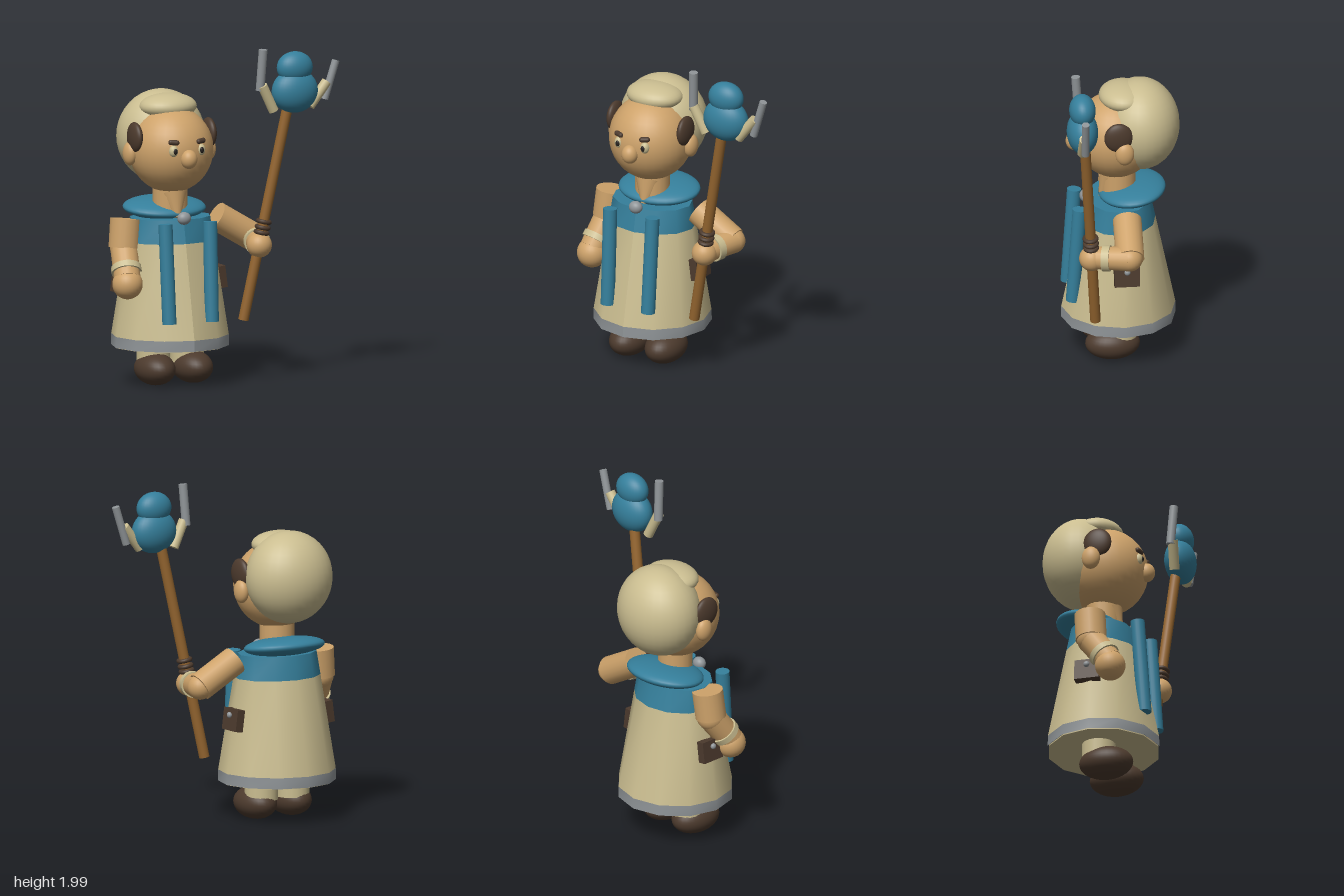
import * as THREE from 'three';

const mat = (name, color) => {
  const m = new THREE.MeshStandardMaterial({ color });
  m.name = name;
  return m;
};

export function createModel() {
  const skin = mat('skin', 0xcda26a);
  const cream = mat('cream', 0xcabd90);
  const blue = mat('blue', 0x357f9b);
  const brown = mat('dark brown', 0x4c3a2d);
  const grey = mat('grey', 0x8f9497);
  const wood = mat('wood', 0x94652f);
  const black = mat('near black', 0x26211e);

  const root = new THREE.Group();
  root.name = 'figure';
  // The figure is turned 45 degrees; its own front is the local +z
  const body = new THREE.Group();
  body.name = 'body';
  body.position.set(-0.275, 0, 0.02);
  body.rotation.y = Math.PI / 4;
  root.add(body);

  const add = (parent, name, geometry, material, pos = [0, 0, 0], rot = [0, 0, 0]) => {
    const m = new THREE.Mesh(geometry, material);
    m.name = name;
    m.position.set(...pos);
    m.rotation.set(...rot);
    parent.add(m);
    return m;
  };
  const ball = (name, material, pos, radii, rot) => {
    const m = add(body, name, new THREE.SphereGeometry(1, 32, 20), material, pos, rot);
    m.scale.set(...radii);
    return m;
  };
  // Cylinder between two points
  const rod = (parent, name, material, a, b, r0, r1 = r0, sides = 20) => {
    const p = new THREE.Vector3(...a), q = new THREE.Vector3(...b);
    const d = q.clone().sub(p);
    const m = add(parent, name, new THREE.CylinderGeometry(r1, r0, d.length(), sides), material);
    m.position.copy(p).add(q).multiplyScalar(0.5);
    m.quaternion.setFromUnitVectors(new THREE.Vector3(0, 1, 0), d.normalize());
    return m;
  };

  // Robe: twelve-sided bands, each with an elliptical section at either end
  const band = (name, material, y0, y1, [ax, az], [bx, bz], open = true) => {
    const g = new THREE.CylinderGeometry(1, 1, 1, 12, 1, open);
    const p = g.attributes.position;
    for (let i = 0; i < p.count; i++) {
      const top = p.getY(i) > 0;
      p.setXYZ(i, p.getX(i) * (top ? bx : ax), top ? y1 : y0, p.getZ(i) * (top ? bz : az));
    }
    g.computeVertexNormals();
    add(body, name, g, material);
  };
  band('hem', grey, 0.235, 0.3, [0.352, 0.34], [0.35, 0.338]);
  band('robeUnderside', cream, 0.232, 0.24, [0.345, 0.333], [0.345, 0.333], false);
  band('robe', cream, 0.3, 0.86, [0.35, 0.338], [0.27, 0.22]);
  band('yoke', blue, 0.86, 1.0, [0.27, 0.22], [0.25, 0.19], false);

  // Left and right pairs
  for (const s of [-1, 1]) {
    rod(body, 'leg', cream, [s * 0.11, 0.13, 0], [s * 0.11, 0.25, 0], 0.1);
    ball('boot', brown, [s * 0.122, 0.105, 0.048], [0.113, 0.097, 0.162]);
    rod(body, 'stoleStrip', blue, [s * 0.138, 0.4, 0.285], [s * 0.145, 0.99, 0.245], 0.042);
    ball('ear', skin, [s * 0.256, 1.385, -0.01], [0.04, 0.07, 0.055]);
    ball('sideburn', brown, [s * 0.24, 1.485, 0.025], [0.035, 0.09, 0.085]);
    ball('eye', cream, [s * 0.088, 1.42, 0.235], [0.028, 0.036, 0.028]);
    ball('pupil', black, [s * 0.086, 1.42, 0.259], [0.013, 0.018, 0.008]);
    add(body, 'eyebrow', new THREE.CapsuleGeometry(0.016, 0.034, 6, 12), brown,
      [s * 0.088, 1.472, 0.24], [0, s * 0.3, Math.PI / 2 + s * 0.1]);
    add(body, 'pouch', new THREE.BoxGeometry(0.05, 0.13, 0.15), brown,
      [s * 0.315, 0.625, -0.015], [0, 0, s * 0.13]);
    ball('pouchButton', grey, [s * 0.343, 0.655, -0.015], [0.015, 0.018, 0.018]);
  }

  // Neck, collar and clasp
  rod(body, 'neck', skin, [0, 0.98, 0], [0, 1.24, 0], 0.103);
  ball('collar', blue, [0, 1.045, -0.08], [0.255, 0.058, 0.2], [0.13, 0, 0]);
  rod(body, 'throat', skin, [0, 1.0, 0.1], [0, 1.13, 0.035], 0.02, 0.085);
  ball('clasp', grey, [0, 1.01, 0.195], [0.042, 0.038, 0.035]);

  // Head
  ball('head', skin, [0, 1.4, 0.015], [0.25, 0.257, 0.25]);
  ball('nose', skin, [0, 1.37, 0.262], [0.05, 0.057, 0.05]);
  ball('hair', cream, [0, 1.465, -0.13], [0.268, 0.275, 0.232]);
  ball('forelock', cream, [0, 1.65, -0.03], [0.176, 0.078, 0.145]);

  // Lowered right arm
  const rElbow = [-0.485, 0.83, 0.235], rWrist = [-0.425, 0.66, 0.345];
  rod(root, 'rightUpperArm', skin, [-0.482, 1.0, 0.215], rElbow, 0.092);
  add(root, 'rightElbow', new THREE.SphereGeometry(0.084, 24, 16), skin, rElbow);
  rod(root, 'rightForearm', skin, rElbow, rWrist, 0.082, 0.078);
  rod(root, 'rightBracelet', cream, [-0.448, 0.725, 0.302], [-0.437, 0.695, 0.322], 0.09);
  add(root, 'rightHand', new THREE.SphereGeometry(0.09, 28, 18), skin, [-0.422, 0.632, 0.35]);

  // Raised left arm
  const lElbow = [0.105, 0.84, -0.37], lWrist = [0.205, 0.83, -0.185];
  rod(root, 'leftUpperArm', skin, [-0.07, 0.98, -0.21], lElbow, 0.085);
  add(root, 'leftElbow', new THREE.SphereGeometry(0.075, 24, 16), skin, lElbow);
  rod(root, 'leftForearm', skin, lElbow, lWrist, 0.075, 0.066);
  rod(root, 'leftBracelet', cream, [0.162, 0.834, -0.268], [0.183, 0.832, -0.228], 0.078);
  add(root, 'leftHand', new THREE.SphereGeometry(0.075, 28, 18), skin, [0.215, 0.825, -0.17]);

  // Staff with dark grip rings
  const foot = new THREE.Vector3(0.13, 0.38, -0.13), tip = new THREE.Vector3(0.37, 1.66, -0.24);
  const staff = rod(root, 'staff', wood, foot.toArray(), tip.toArray(), 0.031);
  for (const y of [0.9, 0.93, 0.965]) {
    const at = foot.clone().lerp(tip, (y - foot.y) / (tip.y - foot.y));
    const ring = add(root, 'gripRing', new THREE.TorusGeometry(0.035, 0.013, 10, 24).rotateX(Math.PI / 2),
      brown, at.toArray());
    ring.quaternion.copy(staff.quaternion);
  }

  // Staff head and its prongs
  ball('staffHead', blue, [0.675, 1.74, 0.29], [0.145, 0.13, 0.092]);
  ball('staffCap', blue, [0.675, 1.88, 0.29], [0.112, 0.095, 0.078]);
  rod(root, 'innerProngBase', cream, [0.31, 1.63, -0.155], [0.262, 1.785, -0.093], 0.03);
  rod(root, 'innerProng', grey, [0.247, 1.755, -0.095], [0.268, 2.0, -0.09], 0.026);
  rod(root, 'outerProngBase', cream, [0.48, 1.645, -0.31], [0.558, 1.785, -0.388], 0.03);
  rod(root, 'outerProng', grey, [0.545, 1.68, -0.385], [0.6, 1.908, -0.43], 0.023);

  return root;
}
